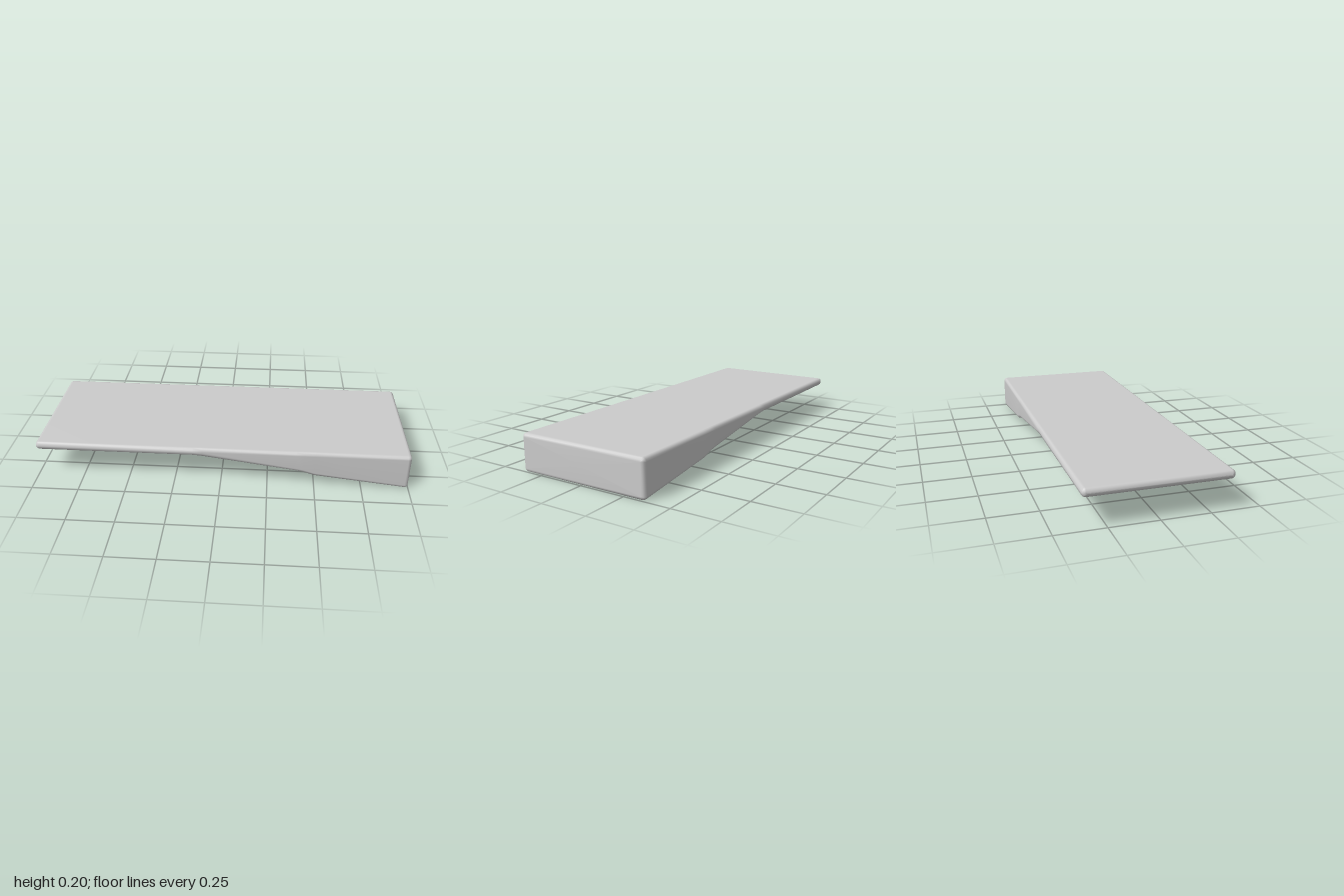
import * as THREE from 'three';

const TOP = 0.2, HALF_DEPTH = 0.367, R = 0.02, STEPS = 3;

// Underside: flat thin tongue, then a slope with a small step
const UNDERSIDE = [[-1, 0.155], [-0.15, 0.155], [-0.1, 0.151], [0.4, 0.082], [0.44, 0.074], [0.5, 0.056], [1, 0]];

function undersideAt(x) {
  for (let i = 1; i < UNDERSIDE.length; i++) {
    const [x0, y0] = UNDERSIDE[i - 1], [x1, y1] = UNDERSIDE[i];
    if (x <= x1) return y0 + (y1 - y0) * (x - x0) / (x1 - x0);
  }
  return 0;
}

// Rounded rectangle across the wedge, counterclockwise seen from +x
function section(x, inset) {
  const r = Math.max(R - inset, 0.002);
  const z = HALF_DEPTH - inset - r;
  const top = TOP - inset - r, bottom = undersideAt(x) + inset + r;
  const corners = [[top, -z], [top, z], [bottom, z], [bottom, -z]];
  const points = [];
  corners.forEach(([cy, cz], q) => {
    for (let k = 0; k <= STEPS; k++) {
      const a = (q + k / STEPS) * Math.PI / 2;
      points.push([x, cy + r * Math.sin(a), cz - r * Math.cos(a)]);
    }
  });
  return points;
}

function wedgeGeometry() {
  // Stations along x: rounded end, underside breaks, rounded end
  const ends = [];
  for (let k = 0; k <= STEPS; k++) {
    const a = k / STEPS * Math.PI / 2;
    ends.push([-1 + R * (1 - Math.cos(a)), R * (1 - Math.sin(a))]);
  }
  const stations = [
    ...ends,
    ...UNDERSIDE.slice(1, -1).map(([x]) => [x, 0]),
    ...ends.map(([x, inset]) => [-x, inset]).reverse(),
  ];
  const rings = stations.map(([x, inset]) => section(x, inset));
  const n = rings[0].length, last = rings.length - 1;
  const positions = rings.flat(2), index = [];

  for (let i = 0; i < last; i++) {
    for (let j = 0; j < n; j++) {
      const a = i * n + j, b = i * n + (j + 1) % n;
      index.push(a, b, b + n, a, b + n, a + n);
    }
  }
  // End caps
  const c = rings.length * n;
  positions.push(-1, (TOP + undersideAt(-1)) / 2, 0, 1, (TOP + undersideAt(1)) / 2, 0);
  for (let j = 0; j < n; j++) {
    const k = (j + 1) % n;
    index.push(c, k, j, c + 1, last * n + j, last * n + k);
  }

  const geometry = new THREE.BufferGeometry();
  geometry.setAttribute('position', new THREE.Float32BufferAttribute(positions, 3));
  geometry.setIndex(index);
  geometry.computeVertexNormals();
  return geometry;
}

export function createModel() {
  const group = new THREE.Group();
  group.name = 'wedge';
  const body = new THREE.Mesh(wedgeGeometry(), new THREE.MeshStandardMaterial({ color: 0xcccccc }));
  body.name = 'wedgeBody';
  group.add(body);
  return group;
}
